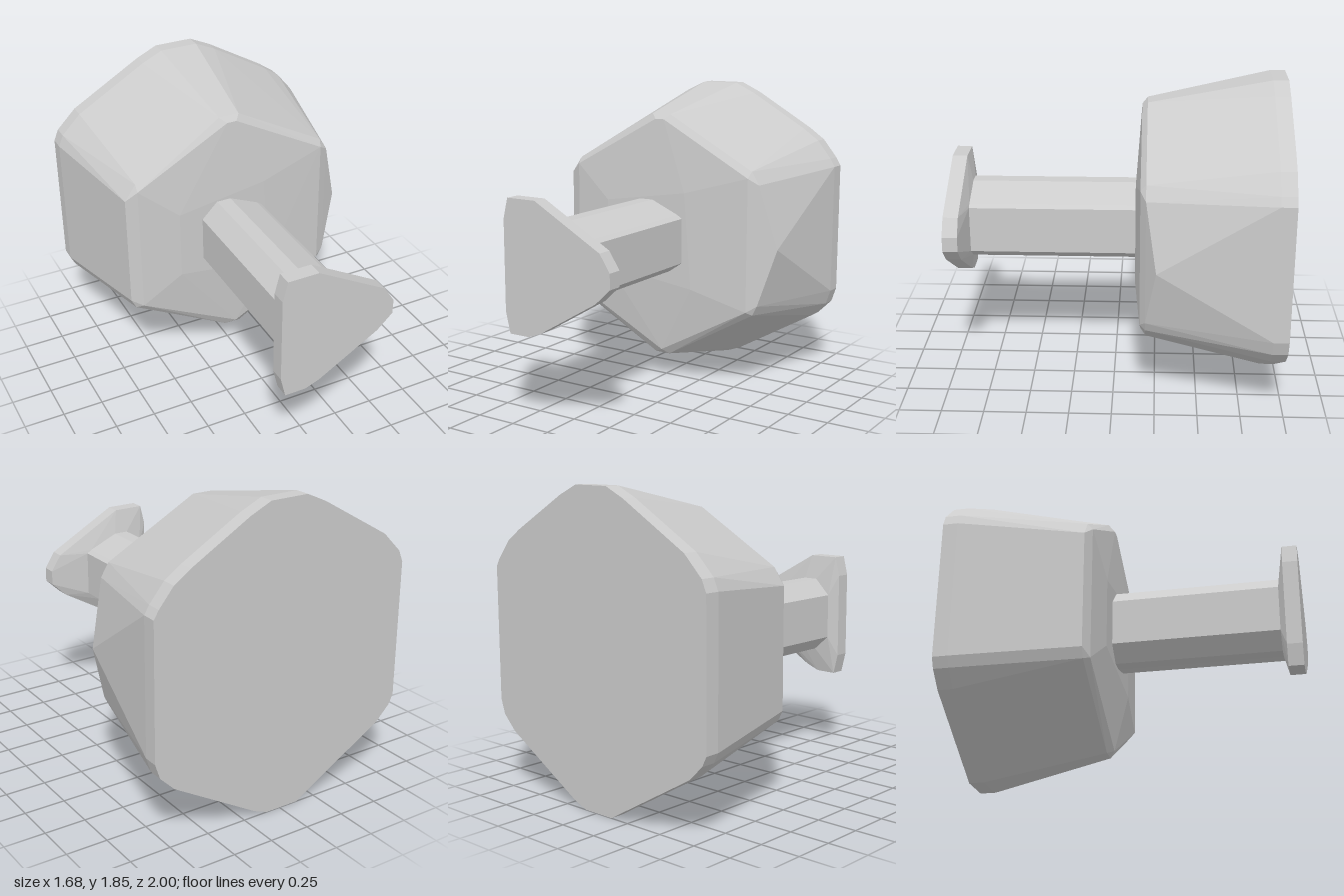
import * as THREE from 'three';
import { ConvexGeometry } from 'three/addons/geometries/ConvexGeometry.js';

// Outlines as [x, y] corners, seen from the front
const headBack = [
  [-0.12, 1.845], [0.12, 1.845], [0.25, 1.785], [0.62, 1.57], [0.72, 1.5], [0.81, 1.39],
  [0.84, 1.34], [0.84, 0.53], [0.81, 0.44], [0.72, 0.35], [0.18, 0.035], [0.09, 0],
  [-0.12, 0], [-0.72, 0.35], [-0.81, 0.44], [-0.84, 0.5], [-0.84, 1.34], [-0.81, 1.41],
  [-0.69, 1.53], [-0.25, 1.785],
];
const headFront = [
  [-0.07, 1.69], [0.06, 1.69], [0.63, 1.38], [0.68, 1.3], [0.68, 0.56], [0.65, 0.5],
  [0.06, 0.16], [-0.04, 0.16], [-0.66, 0.5], [-0.69, 0.56], [-0.69, 1.28], [-0.62, 1.38],
];
const headRim = [[-0.03, 1.66], [0.03, 1.66], [0.62, 1.34], [0.62, 0.52], [0.02, 0.19], [-0.62, 0.52], [-0.62, 1.34]];
const headCrown = [[-0.37, 0.7], [-0.37, 1.13], [0.2, 1.22], [0.25, 0.62]];
const shaftOutline = [
  [-0.12, 1.16], [-0.03, 1.16], [0.155, 1.08], [0.185, 1.06], [0.185, 0.78],
  [0.1, 0.72], [-0.03, 0.69], [-0.12, 0.69], [-0.22, 0.78], [-0.22, 1.06],
];
const knobOutline = [
  [-0.25, 1.31], [-0.06, 1.31], [0.37, 1.07], [0.435, 0.97], [0.435, 0.88], [0.34, 0.79],
  [-0.03, 0.57], [-0.12, 0.535], [-0.25, 0.535], [-0.28, 0.66], [-0.28, 1.19],
];

// Faceted solid spanning a stack of [outline, z] sections
function facetedSolid(name, sections, material) {
  const points = sections.flatMap(([outline, z]) => outline.map(([x, y]) => new THREE.Vector3(x, y, z)));
  const mesh = new THREE.Mesh(new ConvexGeometry(points), material);
  mesh.name = name;
  return mesh;
}

export function createModel() {
  const material = new THREE.MeshStandardMaterial({ color: 0xcccccc, flatShading: true });
  const group = new THREE.Group();
  group.name = 'mallet';
  group.add(
    // Tapered six-sided head with one extra corner on its side
    facetedSolid('head', [
      [headBack, -1], [headBack, -0.91], [[[0.78, 0.91]], -0.25],
      [headFront, -0.19], [headRim, -0.158], [headCrown, -0.125],
    ], material),
    // Straight shaft
    facetedSolid('shaft', [[shaftOutline, -0.2], [shaftOutline, 0.9]], material),
    // Rounded triangular end knob, chamfered down to the shaft
    facetedSolid('endKnob', [[shaftOutline, 0.875], [knobOutline, 0.91], [knobOutline, 1]], material),
  );
  return group;
}
